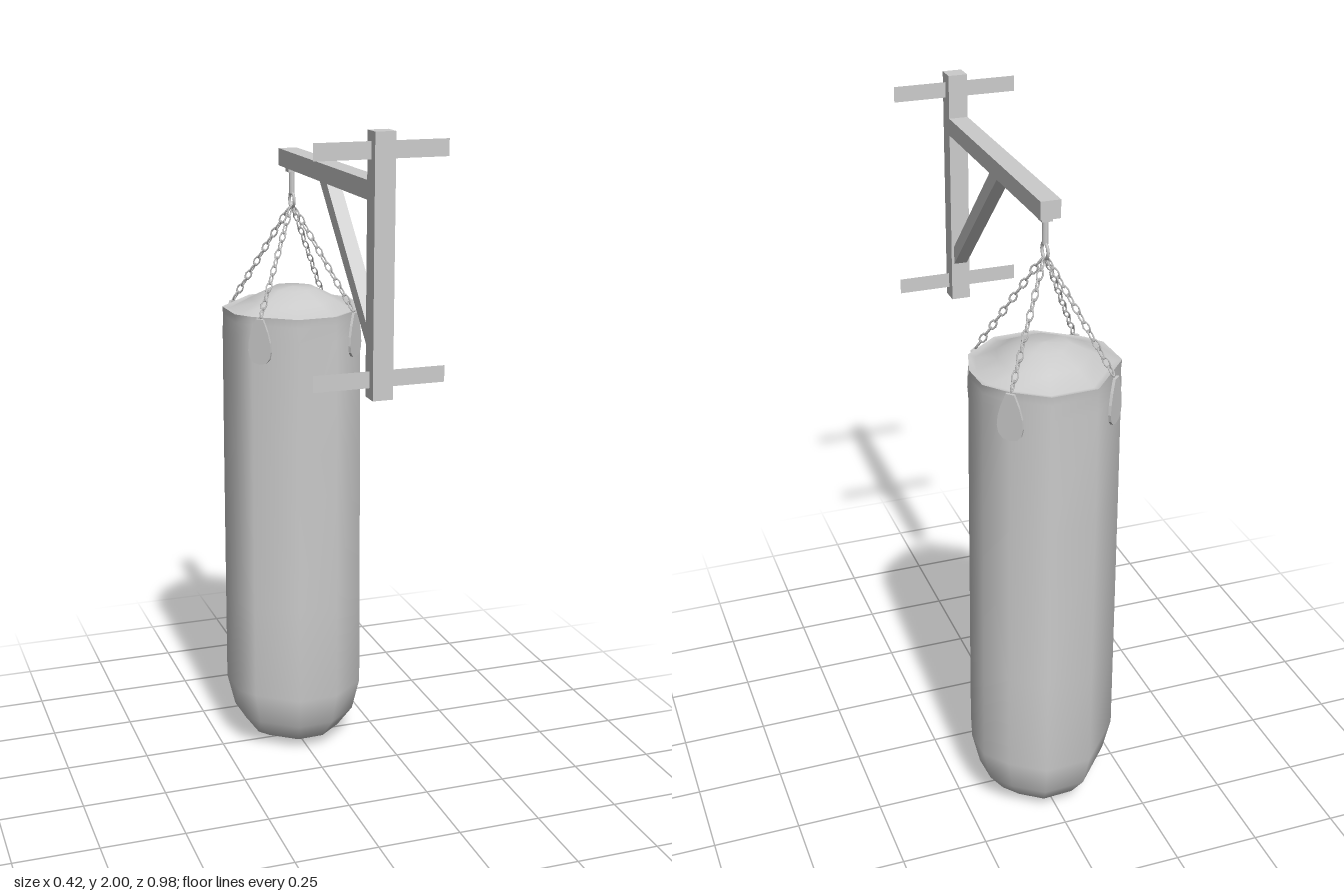
import * as THREE from 'three';

const BAG_Z = -0.277;
const material = new THREE.MeshStandardMaterial({ color: 0xcccccc });
const thinMaterial = new THREE.MeshStandardMaterial({ color: 0xcccccc, side: THREE.DoubleSide });

// Uneven cross-section of the bag: [angle in degrees from +x towards +z, radius]
const SECTION = [
  [-111, 0.222], [-75, 0.222], [-44, 0.211], [-21, 0.221], [5, 0.212], [33, 0.217],
  [70, 0.219], [103, 0.217], [144, 0.208], [161, 0.219], [195, 0.219],
];

// Smooth skin through scaled copies of the cross-section; rows are [y, scale] from the bottom up
function bagSkin(rows) {
  const n = SECTION.length, positions = [], index = [];
  for (const [y, s] of rows) {
    for (const [deg, r] of SECTION) {
      const a = THREE.MathUtils.degToRad(deg);
      positions.push(Math.cos(a) * r * s, y, Math.sin(a) * r * s);
    }
  }
  for (let i = 0; i < rows.length - 1; i++) {
    for (let j = 0; j < n; j++) {
      const a = i * n + j, b = i * n + (j + 1) % n;
      index.push(a, a + n, b, b, a + n, b + n);
    }
  }
  const g = new THREE.BufferGeometry();
  g.setAttribute('position', new THREE.Float32BufferAttribute(positions, 3));
  g.setIndex(index);
  g.computeVertexNormals();
  return g;
}

function add(parent, name, geometry, x = 0, y = 0, z = 0, mat = material) {
  const mesh = new THREE.Mesh(geometry, mat);
  mesh.name = name;
  mesh.position.set(x, y, z);
  parent.add(mesh);
  return mesh;
}

function buildBracket() {
  const bracket = new THREE.Group();
  bracket.name = 'wallBracket';
  add(bracket, 'post', new THREE.BoxGeometry(0.056, 0.69, 0.055), 0, 1.655, 0.4625);
  add(bracket, 'beam', new THREE.BoxGeometry(0.056, 0.05, 0.755), 0, 1.85, 0.0625);
  // Thin wall strips crossing the post
  for (const y of [1.952, 1.362]) {
    add(bracket, 'wallStrip', new THREE.PlaneGeometry(0.365, 0.045), 0, y, 0.465, thinMaterial);
  }
  // Diagonal brace, cut flush against the post and the beam
  const side = new THREE.Shape([[-0.45, 1.41], [-0.45, 1.465], [-0.08, 1.84], [-0.02, 1.84]]
    .map(([u, v]) => new THREE.Vector2(u, v)));
  const geo = new THREE.ExtrudeGeometry(side, { depth: 0.04, bevelEnabled: false });
  geo.translate(0, 0, -0.02).rotateY(Math.PI / 2);
  add(bracket, 'brace', geo);
  return bracket;
}

function buildHook() {
  const hook = new THREE.Group();
  hook.name = 'hook';
  add(hook, 'hookPlate', new THREE.BoxGeometry(0.03, 0.016, 0.03), 0, 1.818, 0);
  add(hook, 'hookStem', new THREE.CylinderGeometry(0.009, 0.009, 0.07, 8), 0, 1.782, 0);
  add(hook, 'hookRing', new THREE.TorusGeometry(0.023, 0.0045, 6, 8), 0, 1.727, 0).rotation.y = Math.PI / 2;
  return hook;
}

// Chain of oval links, alternately turned by a quarter turn
function buildChain(start, end) {
  const chain = new THREE.Group();
  chain.name = 'chain';
  const count = 13;
  const link = new THREE.TorusGeometry(0.009, 0.0025, 4, 8).scale(1, 1.7, 1);
  const turn = new THREE.Quaternion().setFromUnitVectors(
    new THREE.Vector3(0, 1, 0), end.clone().sub(start).normalize());
  for (let i = 0; i < count; i++) {
    const mesh = add(chain, 'chainLink', link);
    mesh.position.lerpVectors(start, end, (i + 0.5) / count);
    mesh.quaternion.copy(turn);
    mesh.rotateY(Math.PI / 4 + (i % 2) * Math.PI / 2);
  }
  return chain;
}

// Teardrop strap lying against the side of the bag
function strapGeometry() {
  const s = new THREE.Shape();
  s.moveTo(0, -0.135);
  s.bezierCurveTo(0.05, -0.135, 0.046, -0.075, 0.012, 0);
  s.lineTo(-0.012, 0);
  s.bezierCurveTo(-0.046, -0.075, -0.05, -0.135, 0, -0.135);
  return new THREE.ExtrudeGeometry(s, { depth: 0.008, bevelEnabled: false, curveSegments: 6 });
}

export function createModel() {
  const model = new THREE.Group();
  model.name = 'punchingBag';
  model.add(buildBracket());

  const hanging = new THREE.Group();
  hanging.name = 'hangingBag';
  hanging.position.z = BAG_Z;
  model.add(hanging);
  hanging.add(buildHook());

  add(hanging, 'bagBody', bagSkin([
    [0, 0], [0.004, 0.33], [0.035, 0.66], [0.1, 0.88], [0.2, 0.99], [0.5, 0.985],
    [1.0, 0.975], [1.34, 0.965], [1.385, 0.955], [1.41, 0.965],
  ]));
  add(hanging, 'bagLid', bagSkin([[1.41, 0.965], [1.405, 0.87], [1.435, 0.6], [1.465, 0.32], [1.47, 0]]));

  // Four chains with their straps, one on each diagonal
  const strap = strapGeometry();
  for (let i = 0; i < 4; i++) {
    const a = Math.PI / 4 + i * Math.PI / 2;
    const out = new THREE.Vector3(Math.sin(a), 0, Math.cos(a));
    const start = out.clone().multiplyScalar(0.008).setY(1.705);
    const end = out.clone().multiplyScalar(0.202).setY(1.412);
    hanging.add(buildChain(start, end));
    const p = out.clone().multiplyScalar(0.204);
    add(hanging, 'strap', strap, p.x, 1.408, p.z).rotation.y = a;
  }
  return model;
}
